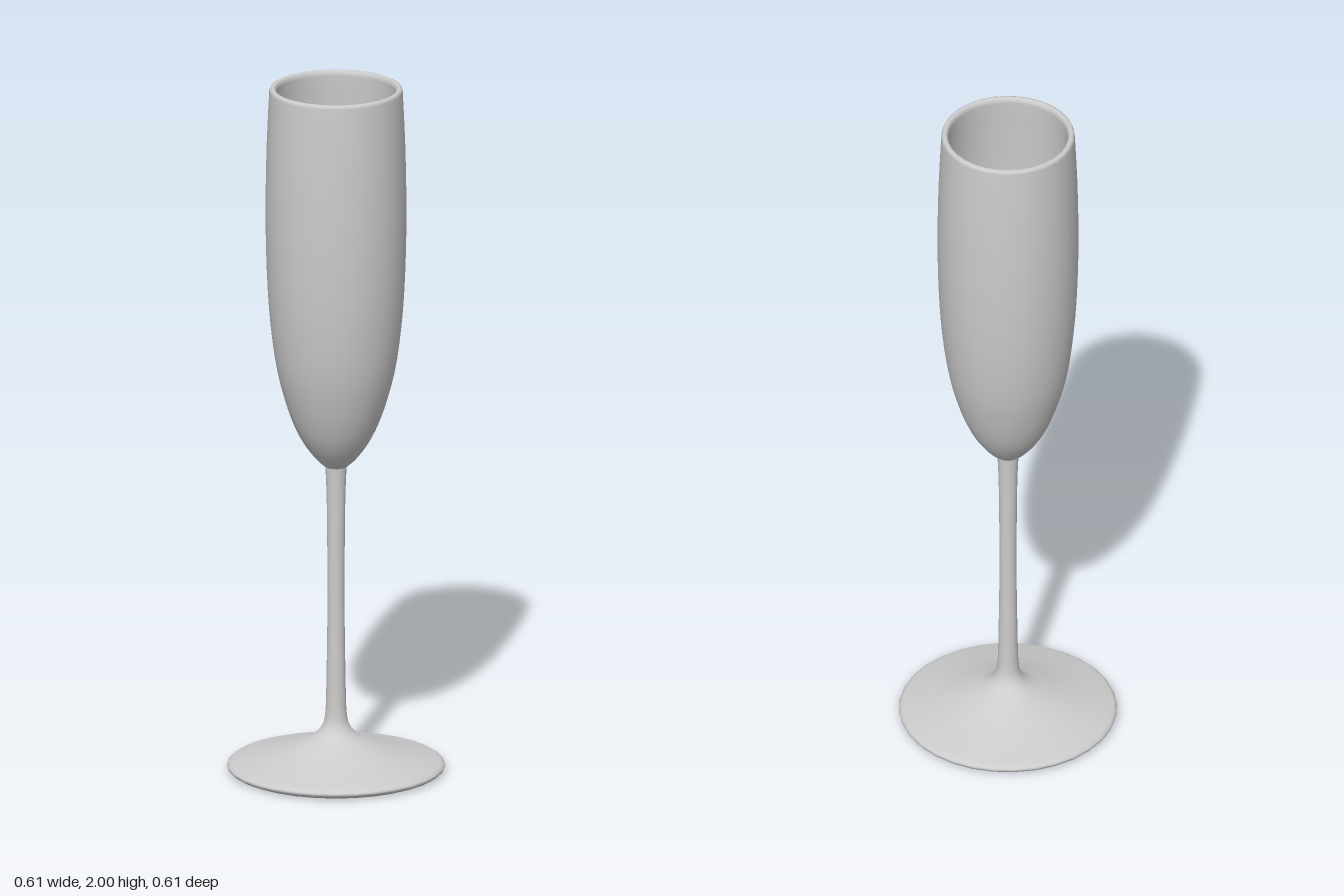
import * as THREE from 'three';

const SIDES = 32;
const material = new THREE.MeshStandardMaterial({ color: 0xcccccc, side: THREE.DoubleSide });

// Smooth curve through a few [radius, height] points
function curve(points, steps) {
  return new THREE.SplineCurve(points.map(([r, y]) => new THREE.Vector2(r, y))).getPoints(steps);
}

function lathe(name, points) {
  const mesh = new THREE.Mesh(new THREE.LatheGeometry(points, SIDES), material);
  mesh.name = name;
  return mesh;
}

function disc(name, radius, y, facing) {
  const mesh = new THREE.Mesh(new THREE.CircleGeometry(radius, SIDES), material);
  mesh.rotation.x = -facing * Math.PI / 2;
  mesh.position.y = y;
  mesh.name = name;
  return mesh;
}

export function createModel() {
  const group = new THREE.Group();
  group.name = 'champagneFlute';

  // Foot: flat underside, thin rounded edge, slope sweeping up into the stem
  const foot = new THREE.Group();
  foot.name = 'foot';
  foot.add(
    disc('footUnderside', 0.285, 0, -1),
    lathe('footTop', [
      ...curve([[0.285, 0], [0.301, 0.007], [0.307, 0.017], [0.297, 0.026]], 8),
      ...curve([[0.297, 0.026], [0.19, 0.054], [0.11, 0.083], [0.065, 0.104],
        [0.04, 0.13], [0.03, 0.17], [0.027, 0.26]], 24).slice(1),
    ]),
  );
  foot.rotation.y = 0.03;
  group.add(foot);

  // Stem: slim, flaring slightly where it meets the bowl
  group.add(lathe('stem', curve([[0.027, 0.26], [0.024, 0.5], [0.026, 0.78], [0.03, 0.89]], 12)));

  // Bowl: tall outer wall, rounded lip, inner wall down past the drink
  group.add(lathe('bowl', [
    ...curve([[0.03, 0.89], [0.055, 0.912], [0.088, 0.955], [0.117, 1.01], [0.145, 1.09],
      [0.171, 1.2], [0.19, 1.37], [0.198, 1.58], [0.196, 1.8], [0.188, 1.99]], 32),
    ...curve([[0.188, 1.99], [0.185, 1.998], [0.178, 2], [0.171, 1.997], [0.168, 1.985]], 8).slice(1),
    ...curve([[0.168, 1.985], [0.176, 1.8], [0.178, 1.58], [0.171, 1.37], [0.15, 1.2],
      [0.098, 1.02], [0.04, 0.94], [0, 0.925]], 24).slice(1),
  ]));

  // Level surface of the drink
  group.add(disc('drinkSurface', 0.178, 1.65, 1));

  return group;
}
